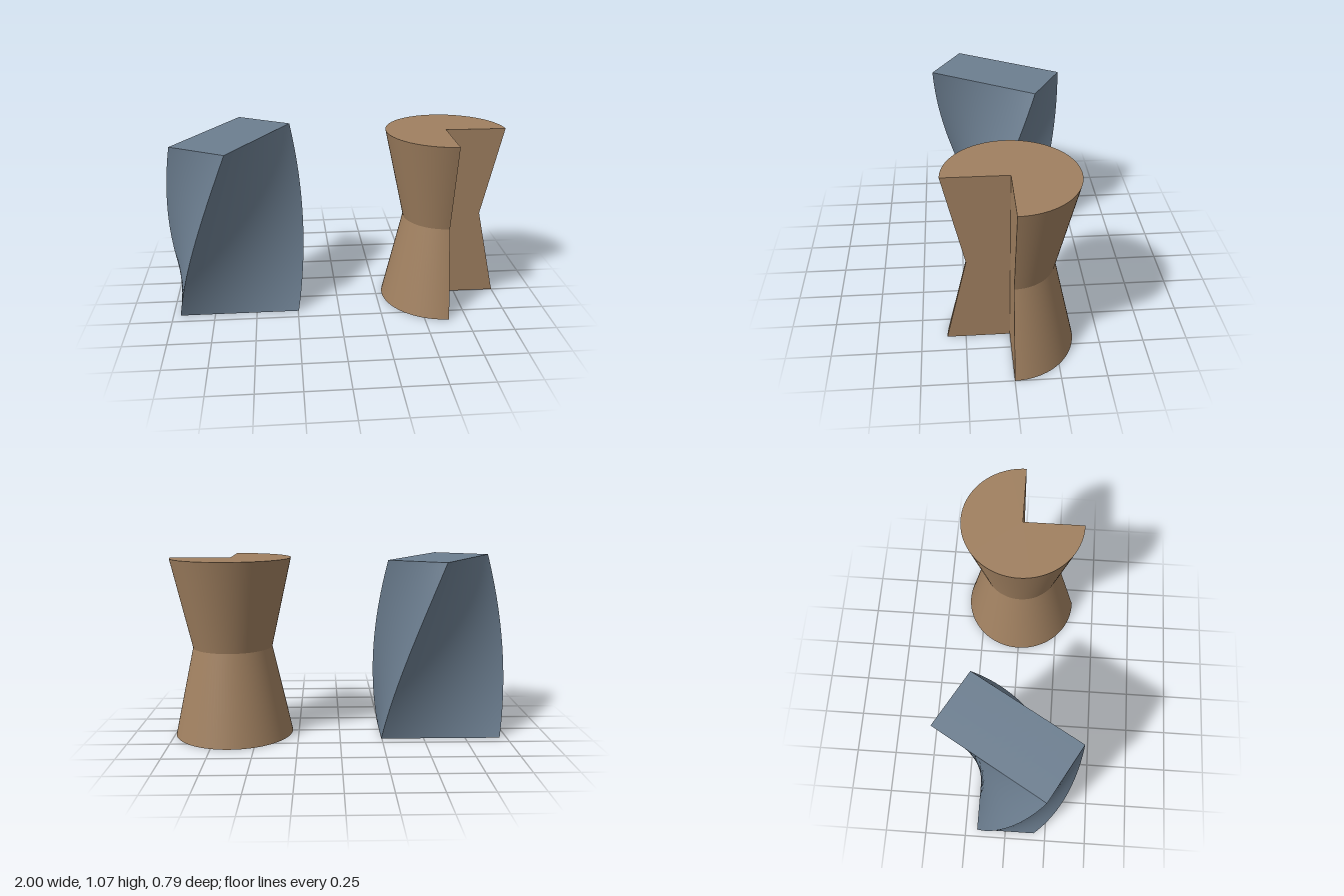
import * as THREE from 'three';
import { toCreasedNormals } from 'three/addons/utils/BufferGeometryUtils.js';

const HEIGHT = 1.068;
const RADIUS = 0.356;
const WAIST = 0.237;
const TWIST = Math.PI / 3;

const material = (name, color) => {
  const m = new THREE.MeshStandardMaterial({ color });
  m.name = name;
  return m;
};

const mesh = (name, geometry, mat) => {
  const m = new THREE.Mesh(geometry, mat);
  m.name = name;
  return m;
};

// Box turned steadily about its vertical axis from bottom to top
function twistedBox(mat) {
  const geo = new THREE.BoxGeometry(0.712, HEIGHT, 0.356, 16, 40, 8);
  geo.translate(0, HEIGHT / 2, 0);
  const pos = geo.attributes.position;
  const up = new THREE.Vector3(0, 1, 0);
  const v = new THREE.Vector3();
  for (let i = 0; i < pos.count; i++) {
    v.fromBufferAttribute(pos, i);
    v.applyAxisAngle(up, (TWIST * v.y) / HEIGHT);
    pos.setXYZ(i, v.x, v.y, v.z);
  }
  geo.computeVertexNormals();
  return mesh('twistedBox', geo, mat);
}

// Hourglass solid swept through three quarters of a turn
function hourglass(mat) {
  const group = new THREE.Group();
  group.name = 'hourglass';
  const profile = [
    [0, 0], [RADIUS, 0], [WAIST, HEIGHT / 2], [RADIUS, HEIGHT], [0, HEIGHT],
  ].map(([x, y]) => new THREE.Vector2(x, y));

  const body = new THREE.LatheGeometry(profile, 72, Math.PI / 2, Math.PI * 1.5);
  group.add(mesh('hourglassBody', toCreasedNormals(body, 0.3), mat));

  // The two flat faces of the missing quarter
  const face = (side) => new THREE.ShapeGeometry(
    new THREE.Shape(profile.map((p) => new THREE.Vector2(p.x * side, p.y))));
  group.add(mesh('cutFaceFront', face(1), mat));
  group.add(mesh('cutFaceSide', face(-1).rotateY(Math.PI / 2), mat));
  return group;
}

export function createModel() {
  const model = new THREE.Group();
  model.name = 'sweptSolids';

  const box = twistedBox(material('slate blue', 0x6c7e90));
  box.position.x = -0.602;
  const glass = hourglass(material('tan brown', 0xa08060));
  glass.position.x = 0.644;

  model.add(box, glass);
  return model;
}
